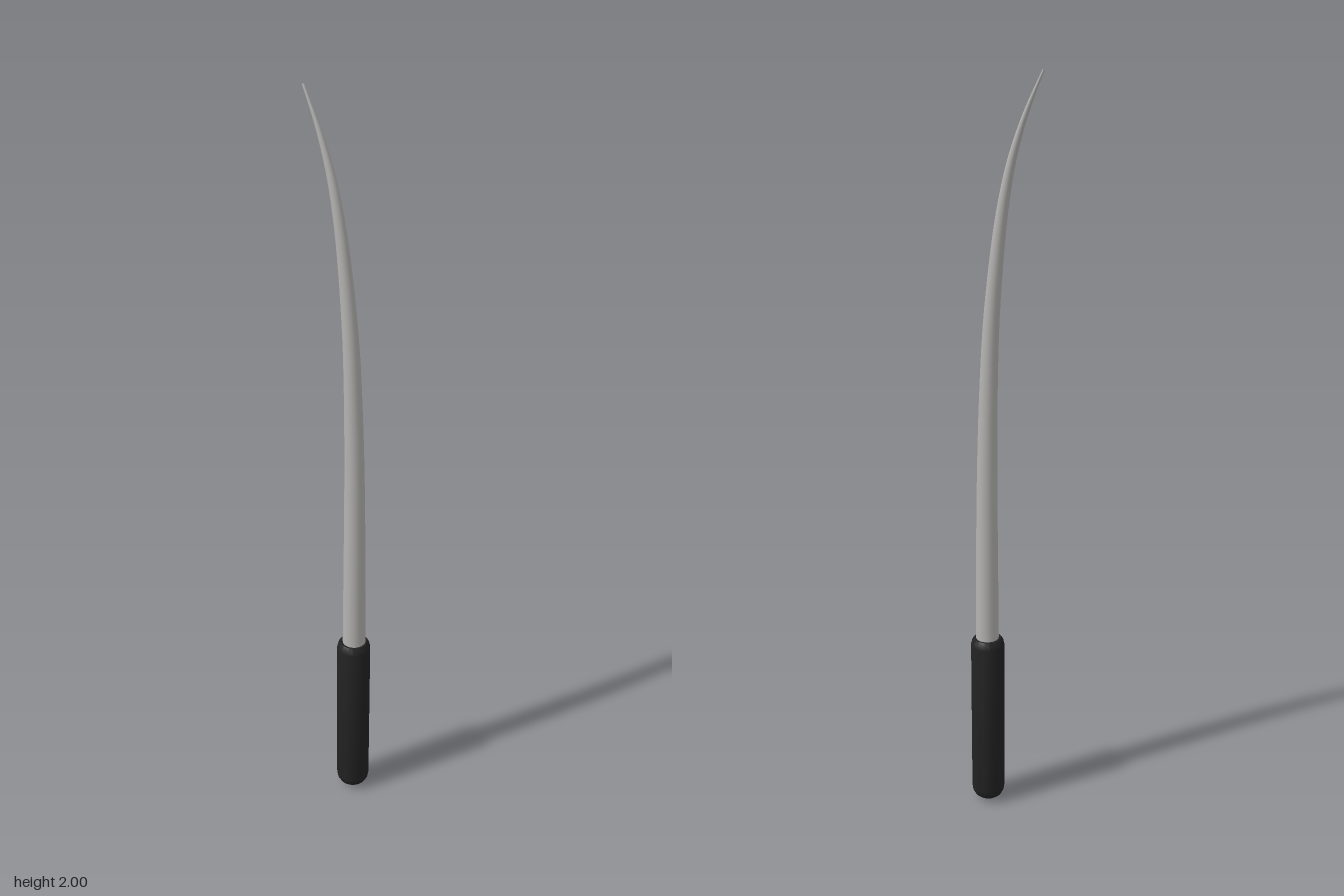
import * as THREE from 'three';
import { mergeVertices, toCreasedNormals } from 'three/addons/utils/BufferGeometryUtils.js';

const AXIS_Z = 0.053; // centre line of the grip

export function createModel() {
  const group = new THREE.Group();
  const steel = new THREE.MeshStandardMaterial({ name: 'grey steel', color: 0xb4b3b1 });
  const rubber = new THREE.MeshStandardMaterial({ name: 'black grip', color: 0x222222 });

  // Grip: round bar with domed bottom and chamfered top
  const gripProfile = [
    [0, 0], [0.012, 0.002], [0.026, 0.009], [0.037, 0.018], [0.043, 0.029],
    [0.045, 0.042], [0.045, 0.488], [0.042, 0.5], [0.036, 0.508], [0, 0.508],
  ].map(([r, y]) => new THREE.Vector2(r, y));
  const grip = new THREE.Mesh(
    toCreasedNormals(new THREE.LatheGeometry(gripProfile, 40), 0.75), rubber);
  grip.name = 'grip';
  grip.position.z = AXIS_Z;
  group.add(grip);

  // Blade: round tapering rod whose rings follow a backward curve
  const centre = new THREE.CatmullRomCurve3([
    [0.5, 0.054], [0.8, 0.0535], [1.0, 0.052], [1.2, 0.0475], [1.4, 0.038],
    [1.6, 0.018], [1.7, 0.003], [1.8, -0.019], [1.9, -0.052], [2.0, -0.096],
  ].map(([y, z]) => new THREE.Vector3(0, y, z)));
  const taper = new THREE.CatmullRomCurve3([
    [0.5, 0.031], [0.8, 0.0285], [1.2, 0.0235], [1.5, 0.0185],
    [1.75, 0.0125], [1.9, 0.007], [2.0, 0.003],
  ].map(([y, r]) => new THREE.Vector3(r, y, 0)));
  const bladeProfile = taper.getPoints(48).map((p) => new THREE.Vector2(p.x, p.y));
  bladeProfile.push(new THREE.Vector2(0, 2.0));

  let blade = new THREE.LatheGeometry(bladeProfile, 24);
  const pos = blade.attributes.position;
  const samples = centre.getPoints(200);
  for (let i = 0; i < pos.count; i++) {
    const y = pos.getY(i);
    let k = samples.findIndex((s) => s.y >= y - 1e-6);
    k = Math.max(k, 1);
    const a = samples[k - 1], b = samples[k];
    const z = THREE.MathUtils.lerp(a.z, b.z, (y - a.y) / (b.y - a.y));
    pos.setZ(i, pos.getZ(i) + z);
  }
  // Weld the seam so shading stays smooth all round
  blade.deleteAttribute('uv');
  blade.deleteAttribute('normal');
  blade = mergeVertices(blade, 1e-5);
  blade.computeVertexNormals();
  const bladeMesh = new THREE.Mesh(blade, steel);
  bladeMesh.name = 'blade';
  group.add(bladeMesh);

  return group;
}
